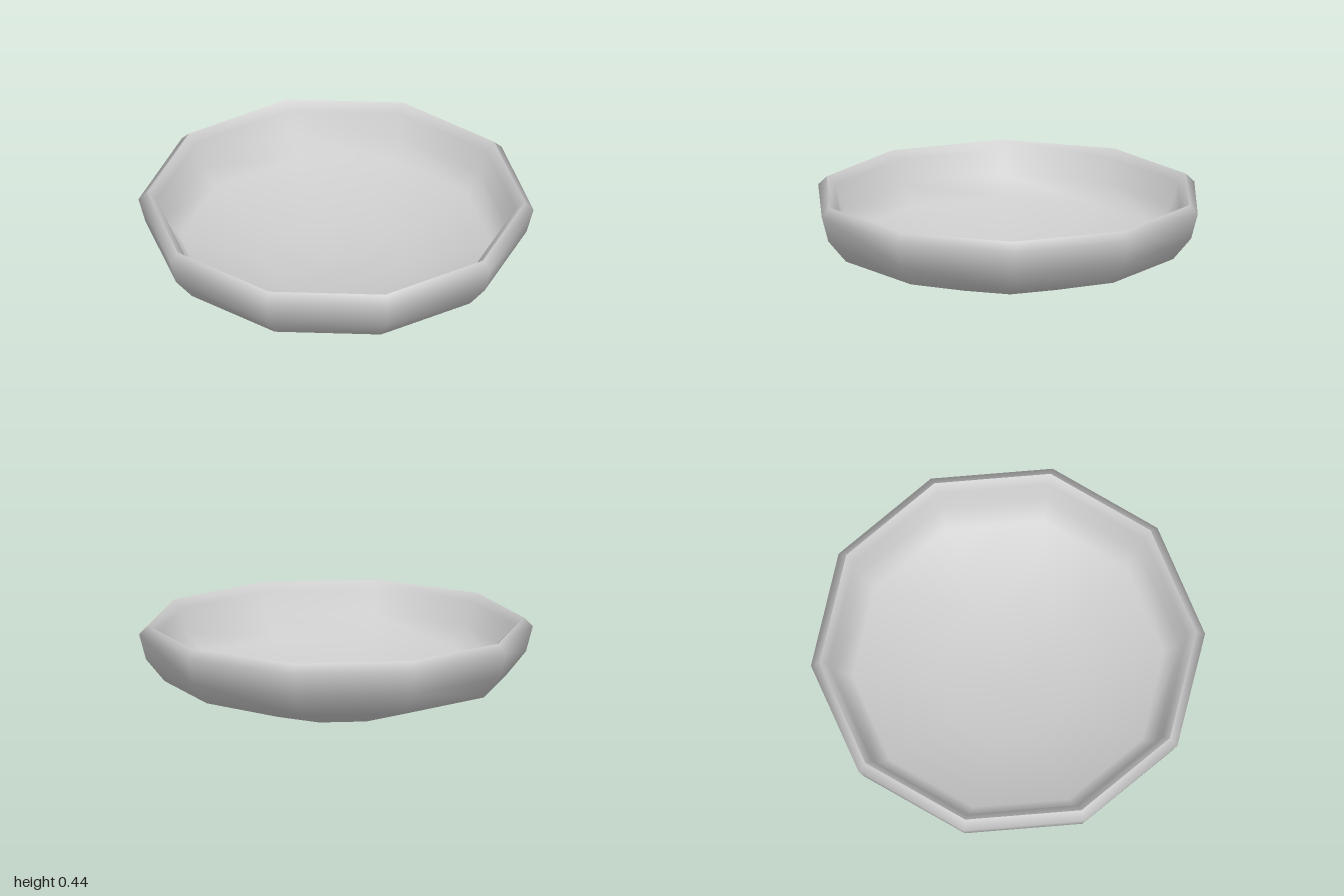
import * as THREE from 'three';

const SIDES = 10;

// Ten-sided turned shell with smooth normals and a corner on the x axis
function shell(name, profile, material) {
  const points = profile.map(([r, y]) => new THREE.Vector2(r, y));
  const mesh = new THREE.Mesh(new THREE.LatheGeometry(points, SIDES, Math.PI / 2), material);
  mesh.name = name;
  return mesh;
}

export function createModel() {
  const group = new THREE.Group();
  group.name = 'bowl';
  const material = new THREE.MeshStandardMaterial({ color: 0xcccccc });

  // Underside, flared wall and bevelled lip, from the base up
  group.add(shell('outerShell', [
    [0, 0], [0.39, 0], [0.87, 0.145], [0.965, 0.26], [1, 0.39], [0.955, 0.435],
  ], material));

  // Inside wall and shallow floor, from the lip down; the rim stays a sharp edge
  group.add(shell('innerShell', [
    [0.955, 0.435], [0.91, 0.395], [0.875, 0.275], [0.79, 0.18], [0.36, 0.055], [0, 0.05],
  ], material));

  return group;
}
